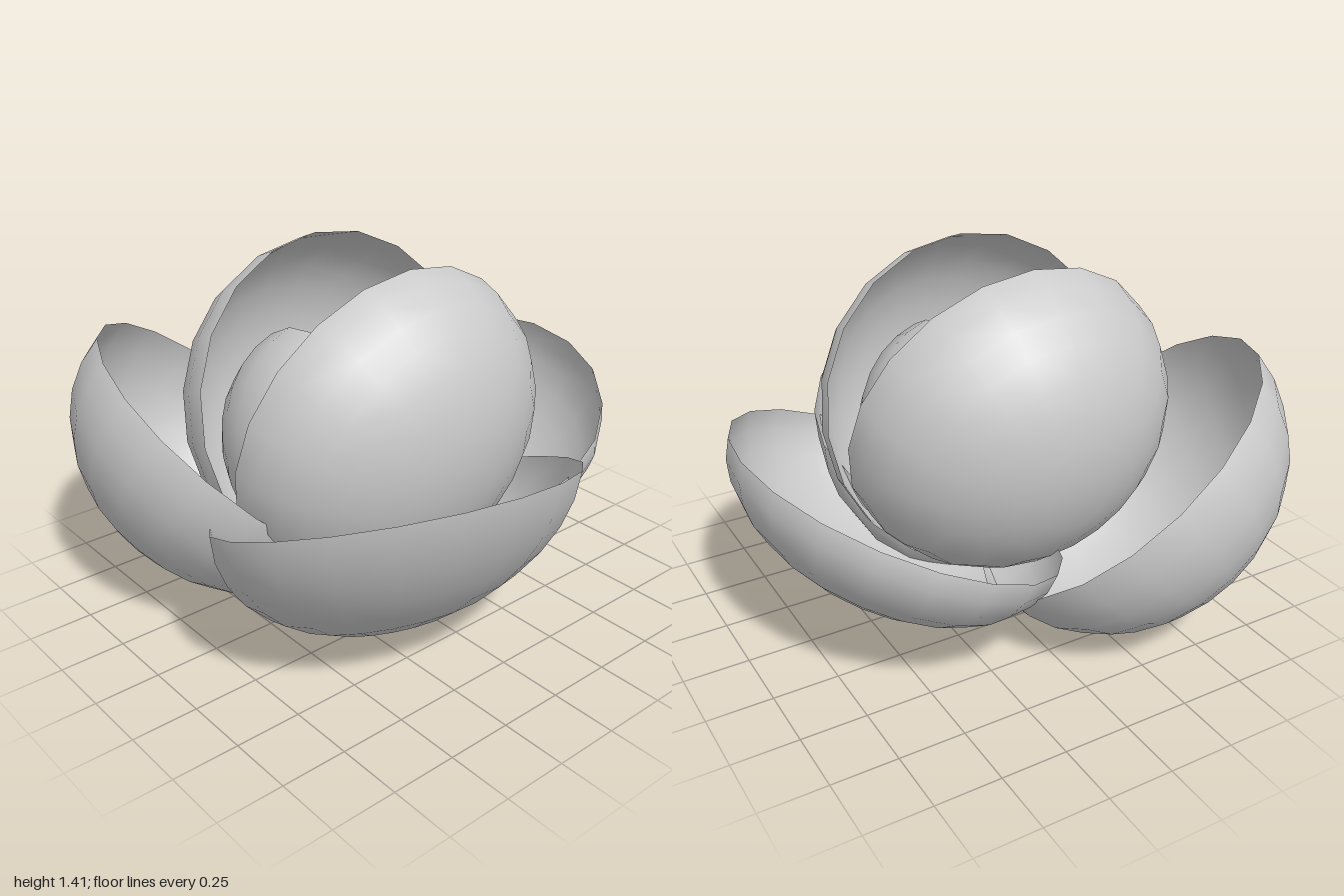
import * as THREE from 'three';

const material = new THREE.MeshStandardMaterial({ color: 0xcccccc, side: THREE.DoubleSide });

// One cupped petal: a half sphere stretched onto two rim axes and a depth axis
function cup(name, centre, rimUp, rimSide, depth) {
  const u = new THREE.Vector3(...rimUp);
  const v = new THREE.Vector3(...rimSide);
  const w = new THREE.Vector3(...depth);
  const basis = new THREE.Matrix4().makeBasis(u, w, v);
  // keep the outside of the bowl facing outward
  if (basis.determinant() < 0) basis.makeBasis(u, w, v.negate());
  basis.setPosition(...centre);
  const geometry = new THREE.SphereGeometry(1, 20, 8, 0, Math.PI * 2, 0, Math.PI / 2);
  geometry.applyMatrix4(basis);
  const mesh = new THREE.Mesh(geometry, material);
  mesh.name = name;
  return mesh;
}

export function createModel() {
  const flower = new THREE.Group();
  flower.name = 'flowerBud';

  // Three wide outer petals, open at different tilts
  flower.add(
    cup('outerPetalFront', [-0.343, 0.635, 0.374], [-0.25, 0.44, 0.433], [0.563, 0, 0.325], [-0.229, -0.437, 0.314]),
    cup('outerPetalSide', [0.436, 0.654, 0.235], [0.564, 0.22, 0], [0, 0.08, 0.71], [-0.08, -0.605, -0.045]),
    cup('outerPetalBack', [-0.06, 0.598, -0.4], [0, 0.262, -0.57], [0.72, 0, 0], [0, -0.38, -0.14])
  );

  // Two tall inner petals leaning apart to the sides
  flower.add(
    cup('innerPetalRight', [-0.045, 0.8, 0.07], [-0.19, 0.615, 0], [0, 0, 0.645], [-0.522, -0.158, 0]),
    cup('innerPetalLeft', [0.133, 0.774, 0.07], [0.157, 0.626, 0], [0, 0, 0.645], [0.475, -0.119, 0])
  );

  // Two small core petals leaning apart to front and back
  for (const [name, s] of [['corePetalFront', 1], ['corePetalBack', -1]]) {
    flower.add(cup(name, [0.035, 0.67, 0.075 + s * 0.07], [0, 0.48, s * 0.145], [0.5, 0, 0], [0, -0.13, s * 0.43]));
  }

  return flower;
}
